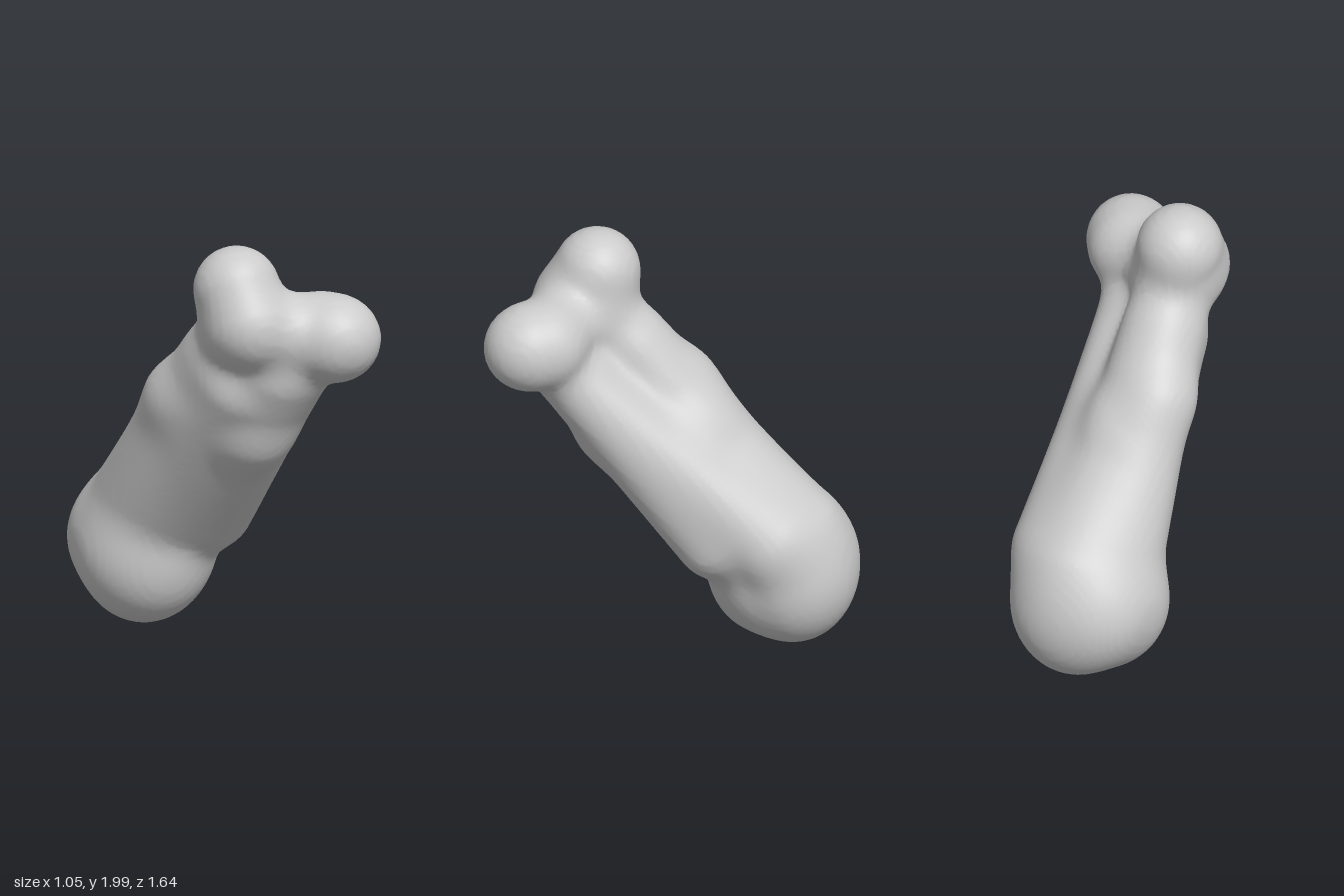
import * as THREE from 'three';

// Chains of tapered limbs blended into one skin: [x, y, z, radius] at each joint
const CHAINS = [
  // upper knob, side knob and the saddle joining them
  [[-0.085, 1.8, 0.405, 0.2], [-0.07, 1.66, 0.5, 0.185]],
  [[0.29, 1.57, 0.57, 0.195], [0.33, 1.57, 0.617, 0.2]],
  [[-0.03, 1.61, 0.47, 0.18], [0.26, 1.57, 0.55, 0.17]],
  // back ridge of the shaft
  [[-0.07, 1.6, 0.38, 0.165], [-0.09, 1.06, -0.07, 0.165], [-0.13, 0.54, -0.5, 0.26]],
  // outer edge, set towards the back, and the slanted face below it
  [[-0.12, 1.42, 0.25, 0.16], [-0.2, 1.2, 0.05, 0.155], [-0.25, 0.45, -0.45, 0.235]],
  [[-0.08, 1.3, 0.36, 0.15], [-0.17, 0.44, -0.37, 0.215]],
  // inner edge, back and front
  [[0.17, 1.32, 0.36, 0.125], [0.03, 0.57, -0.45, 0.2]],
  [[0.2, 1.36, 0.45, 0.125], [0.09, 0.56, -0.2, 0.155]],
  // front ridge
  [[0.08, 1.38, 0.48, 0.15], [0.04, 1.07, 0.29, 0.15], [-0.02, 0.53, -0.23, 0.175]],
  // broad lower end: outer lobe, inner lobe, sole
  [[-0.24, 0.36, -0.41, 0.265], [-0.235, 0.37, -0.53, 0.265]],
  [[-0.1, 0.37, -0.53, 0.265], [-0.11, 0.34, -0.42, 0.25]],
  [[-0.2, 0.265, -0.4, 0.255], [-0.13, 0.265, -0.52, 0.25]],
];
const LIMBS = CHAINS.flatMap(chain => chain.slice(1).map((b, i) => {
  const a = chain[i];
  return {
    a: new THREE.Vector3(...a), d: new THREE.Vector3(b[0] - a[0], b[1] - a[1], b[2] - a[2]),
    r0: a[3], r1: b[3],
  };
}));

const BLEND = 0.11;
const q = new THREE.Vector3();

// Signed distance to the blended limbs, negative inside
function field(x, y, z) {
  let f = 10;
  for (const { a, d, r0, r1 } of LIMBS) {
    q.set(x, y, z).sub(a);
    const t = THREE.MathUtils.clamp(q.dot(d) / d.lengthSq(), 0, 1);
    const g = q.addScaledVector(d, -t).length() - (r0 + (r1 - r0) * t);
    const h = Math.max(BLEND - Math.abs(f - g), 0) / BLEND;
    f = Math.min(f, g) - h * h * BLEND / 4;
  }
  return Math.max(f, -y); // flat foot
}

// Wraps the field in quads: one averaged vertex per crossed cell
function skin(min, max, step) {
  const n = min.map((m, i) => Math.ceil((max[i] - m) / step) + 1);
  const id = (i, j, k) => i + n[0] * (j + n[1] * k);
  const val = new Float32Array(n[0] * n[1] * n[2]);
  for (let k = 0; k < n[2]; k++) for (let j = 0; j < n[1]; j++) for (let i = 0; i < n[0]; i++)
    val[id(i, j, k)] = field(min[0] + i * step, min[1] + j * step, min[2] + k * step);

  const cell = new Int32Array(val.length).fill(-1);
  const pos = [], index = [];
  const corner = c => [c & 1, (c >> 1) & 1, c >> 2];
  for (let k = 0; k < n[2] - 1; k++) for (let j = 0; j < n[1] - 1; j++) for (let i = 0; i < n[0] - 1; i++) {
    const sum = [0, 0, 0];
    let hits = 0;
    for (let c = 0; c < 8; c++) for (const bit of [1, 2, 4]) {
      if (c & bit) continue;
      const p = corner(c), e = corner(c | bit);
      const u = val[id(i + p[0], j + p[1], k + p[2])], v = val[id(i + e[0], j + e[1], k + e[2])];
      if ((u < 0) === (v < 0)) continue;
      const t = u / (u - v);
      for (let s = 0; s < 3; s++) sum[s] += p[s] + (e[s] - p[s]) * t;
      hits++;
    }
    if (!hits) continue;
    cell[id(i, j, k)] = pos.length / 3;
    [i, j, k].forEach((g, s) => pos.push(min[s] + (g + sum[s] / hits) * step));
  }

  // One quad around each crossed grid edge
  const stride = [1, n[0], n[0] * n[1]];
  for (let k = 1; k < n[2] - 1; k++) for (let j = 1; j < n[1] - 1; j++) for (let i = 1; i < n[0] - 1; i++) {
    const o = id(i, j, k);
    for (let s = 0; s < 3; s++) {
      const inside = val[o] < 0;
      if (inside === (val[o + stride[s]] < 0)) continue;
      const u = stride[(s + 1) % 3], v = stride[(s + 2) % 3];
      const [a, b, c, d] = [o - u - v, o - v, o, o - u].map(m => cell[m]);
      if (inside) index.push(a, b, c, a, c, d);
      else index.push(a, c, b, a, d, c);
    }
  }
  const geo = new THREE.BufferGeometry();
  geo.setAttribute('position', new THREE.Float32BufferAttribute(pos, 3));
  geo.setIndex(index);
  geo.computeVertexNormals();
  return geo;
}

export function createModel() {
  const group = new THREE.Group();
  group.name = 'bone';
  const body = new THREE.Mesh(
    skin([-0.71, -0.11, -1.01], [0.7, 2.15, 1], 0.025),
    new THREE.MeshStandardMaterial({ color: 0xcccccc }),
  );
  body.name = 'boneBody';
  group.add(body);
  return group;
}
